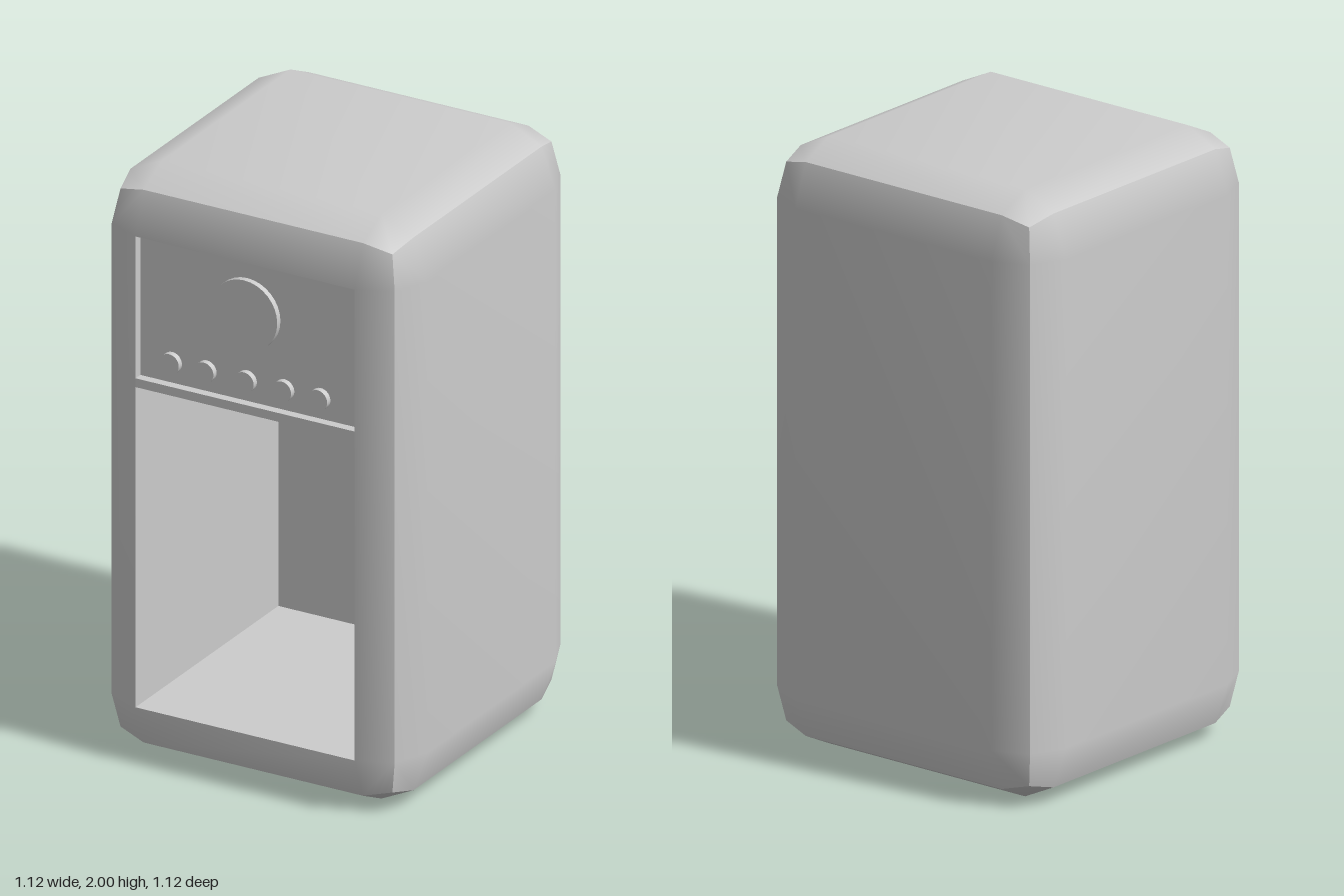
import * as THREE from 'three';

const grey = new THREE.MeshStandardMaterial({ color: 0xcccccc });

// Half sizes (x, y, z) of the body where 1, 2 or 3 axes are at their outer limit
const OUTER = [null, [0.56, 1, 0.56], [0.51, 0.945, 0.51], [0.49, 0.92, 0.49]];
const INNER = [0.395, 0.805, 0.395];
const FRONT = 0.56;

function add(group, geometry, name) {
  const mesh = new THREE.Mesh(geometry, grey);
  mesh.name = name;
  group.add(mesh);
  return mesh;
}

// One softly bevelled side of the body: a 4 x 4 grid, optionally with an open middle
function sideGeometry(axis, sign, open) {
  const b = (axis + 1) % 3, c = (axis + 2) % 3;
  const positions = [], full = [], kept = [];
  for (let j = 0; j < 4; j++) {
    for (let i = 0; i < 4; i++) {
      const dir = [0, 0, 0], outer = [false, false, false];
      dir[axis] = sign; outer[axis] = true;
      dir[b] = i < 2 ? -1 : 1; outer[b] = i % 3 === 0;
      dir[c] = j < 2 ? -1 : 1; outer[c] = j % 3 === 0;
      const size = OUTER[outer.filter(Boolean).length];
      const p = dir.map((d, k) => d * (outer[k] ? size[k] : INNER[k]));
      positions.push(p[0], p[1] + 1, p[2]);
    }
  }
  for (let j = 0; j < 3; j++) {
    for (let i = 0; i < 3; i++) {
      const k = j * 4 + i;
      const quad = sign > 0
        ? [k, k + 1, k + 5, k, k + 5, k + 4]
        : [k, k + 5, k + 1, k, k + 4, k + 5];
      full.push(...quad);
      if (!(open && i === 1 && j === 1)) kept.push(...quad);
    }
  }
  const g = new THREE.BufferGeometry();
  g.setAttribute('position', new THREE.Float32BufferAttribute(positions, 3));
  g.setIndex(full);
  g.computeVertexNormals();
  g.setIndex(kept);
  return g;
}

// Inward-facing box without its front
function recessGeometry(y0, y1, depth) {
  const g = new THREE.BoxGeometry(INNER[0] * 2, y1 - y0, depth);
  const index = Array.from(g.index.array);
  index.splice(24, 6);
  g.setIndex(index.reverse());
  g.computeVertexNormals();
  g.translate(0, (y0 + y1) / 2, FRONT - depth / 2);
  return g;
}

export function createModel() {
  const model = new THREE.Group();
  model.name = 'appliance';

  // Bevelled body
  const body = new THREE.Group();
  body.name = 'body';
  model.add(body);
  const names = [['rightSide', 'leftSide'], ['bottom', 'top'], ['back', 'frontFrame']];
  names.forEach((pair, axis) => pair.forEach((name, k) => {
    add(body, sideGeometry(axis, k ? 1 : -1, name === 'frontFrame'), name);
  }));

  // Front openings and the strip between them
  const panelDepth = 0.03, low = 1 - INNER[1], high = 1 + INNER[1];
  add(model, recessGeometry(1.32, high, panelDepth), 'controlPanel');
  add(model, recessGeometry(low, 1.29, 0.88), 'compartment');
  const strip = new THREE.PlaneGeometry(INNER[0] * 2, 0.03);
  add(model, strip, 'dividerStrip').position.set(0, 1.305, FRONT);

  // Dial and row of buttons
  const knob = (name, radius, x, y) => {
    const g = new THREE.CylinderGeometry(radius, radius, 0.02, 32).rotateX(Math.PI / 2);
    add(model, g, name).position.set(x, y, FRONT - panelDepth + 0.01);
  };
  knob('dial', 0.12, -0.01, 1.62);
  [-0.28, -0.155, -0.01, 0.125, 0.255].forEach((x, i) => knob('button' + (i + 1), 0.035, x, 1.39));

  return model;
}
